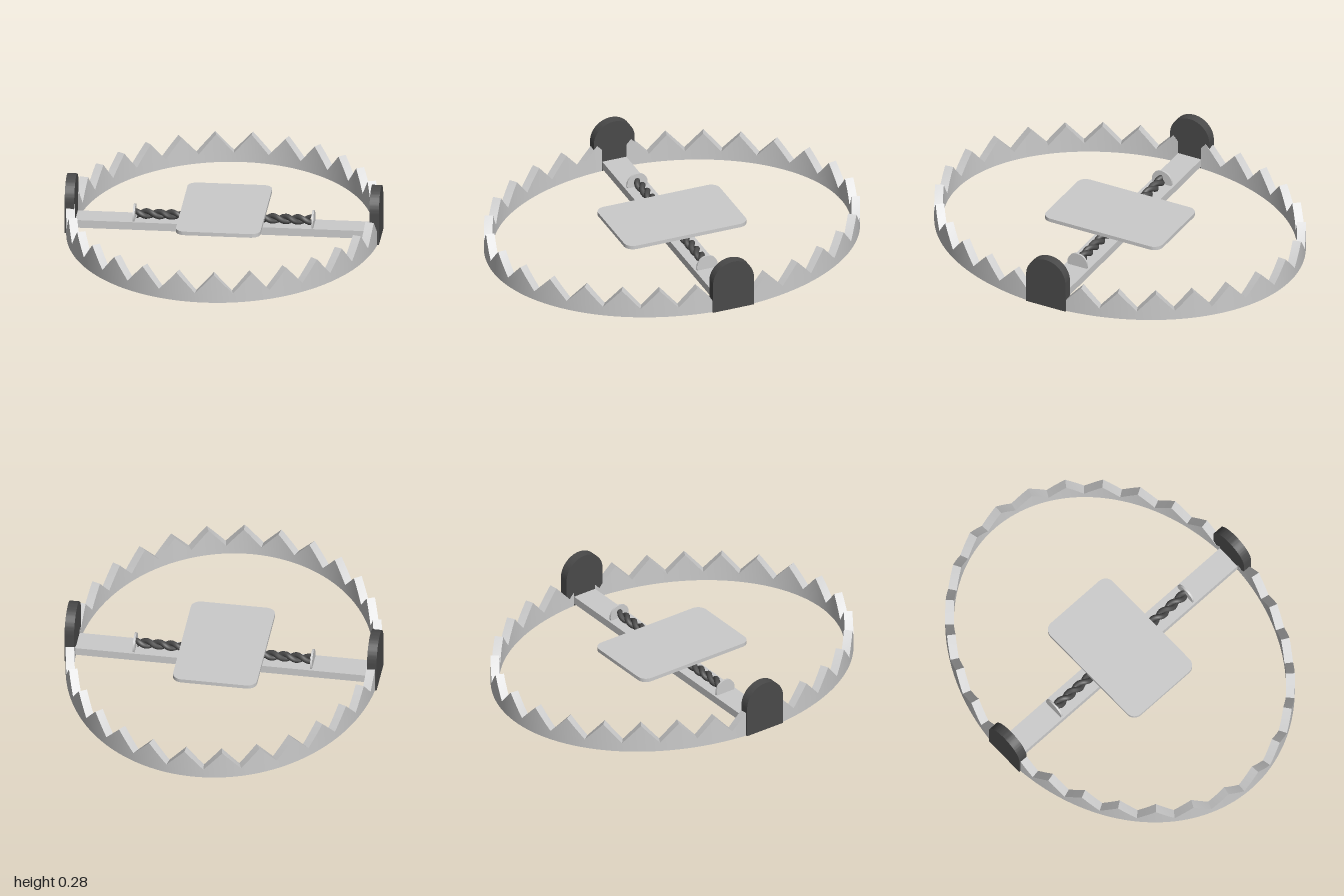
import * as THREE from 'three';
import { toCreasedNormals } from 'three/addons/utils/BufferGeometryUtils.js';

const steel = new THREE.MeshStandardMaterial({ color: 0xcccccc });
const dark = new THREE.MeshStandardMaterial({ color: 0x4a4a4a });

function part(name, geometry, material, x = 0, y = 0, z = 0) {
  const mesh = new THREE.Mesh(geometry, material);
  mesh.name = name;
  mesh.position.set(x, y, z);
  return mesh;
}

// Oval band whose top edge zigzags into evenly spaced teeth
function toothedRing() {
  const teeth = 29, steps = 6, n = teeth * steps;
  const outer = new THREE.EllipseCurve(0, 0, 0.815, 1);
  outer.arcLengthDivisions = 1000;
  const pitch = outer.getLength() / teeth;
  const shift = (0.25 * teeth - 0.05 / pitch) % 1; // places a peak just beside the front middle
  const sections = [];
  for (let i = 0; i <= n; i++) {
    const u = (((i / steps + shift) / teeth) % 1 + 1) % 1;
    const p = outer.getPointAt(u);
    const nx = p.x / 0.815 ** 2, nz = p.y, len = Math.hypot(nx, nz);
    const qx = p.x - 0.045 * nx / len, qz = p.y - 0.045 * nz / len;
    const k = (i % steps) / steps;
    const h = 0.155 - 0.105 * (1 - Math.abs(1 - 2 * k));
    sections.push([[p.x, 0, p.y], [p.x, h, p.y], [qx, h, qz], [qx, 0, qz]]);
  }
  const pos = [];
  for (let i = 0; i < n; i++) {
    for (let j = 0; j < 4; j++) {
      const a = sections[i][j], b = sections[i][(j + 1) % 4];
      const c = sections[i + 1][(j + 1) % 4], d = sections[i + 1][j];
      pos.push(...a, ...b, ...c, ...a, ...c, ...d);
    }
  }
  const g = new THREE.BufferGeometry();
  g.setAttribute('position', new THREE.Float32BufferAttribute(pos, 3));
  return toCreasedNormals(g, 0.4);
}

// Upright end plate with a round top
function endPlate() {
  const s = new THREE.Shape();
  s.moveTo(-0.115, 0);
  s.lineTo(0.115, 0);
  s.lineTo(0.115, 0.165);
  s.absarc(0, 0.165, 0.115, 0, Math.PI);
  s.closePath();
  const g = new THREE.ExtrudeGeometry(s, { depth: 0.05, bevelEnabled: false, curveSegments: 24 });
  return toCreasedNormals(g.translate(0, 0, -0.025).rotateY(Math.PI / 2), 0.5);
}

// Thin trigger plate with rounded corners
function triggerPlate() {
  const w = 0.22, d = 0.342, r = 0.05, s = new THREE.Shape();
  s.absarc(w - r, d - r, r, 0, Math.PI / 2);
  s.absarc(r - w, d - r, r, Math.PI / 2, Math.PI);
  s.absarc(r - w, r - d, r, Math.PI, Math.PI * 1.5);
  s.absarc(w - r, r - d, r, Math.PI * 1.5, Math.PI * 2);
  s.closePath();
  const g = new THREE.ExtrudeGeometry(s, { depth: 0.02, bevelEnabled: false, curveSegments: 8 });
  return toCreasedNormals(g.rotateX(-Math.PI / 2), 0.5);
}

// One strand of the twisted rod
class Strand extends THREE.Curve {
  constructor(phase) {
    super();
    this.phase = phase;
  }
  getPoint(t, target = new THREE.Vector3()) {
    const a = this.phase + t * Math.PI * 2 * 7;
    return target.set(-0.46 + 0.92 * t, 0.013 * Math.cos(a), 0.013 * Math.sin(a));
  }
}

export function createModel() {
  const group = new THREE.Group();
  group.add(part('toothedRing', toothedRing(), steel));
  group.add(part('baseBar', new THREE.BoxGeometry(1.56, 0.042, 0.135), steel, 0, 0.034, 0));
  group.add(part('triggerPlate', triggerPlate(), steel, 0, 0.105, 0));

  const rod = new THREE.Group();
  rod.name = 'twistedRod';
  rod.position.y = 0.079;
  for (const phase of [0, Math.PI]) {
    rod.add(part('strand', new THREE.TubeGeometry(new Strand(phase), 168, 0.015, 8), dark));
  }
  group.add(rod);

  // Mirrored ends
  for (const side of [-1, 1]) {
    group.add(part('endPlate', endPlate(), dark, side * 0.793, 0, 0));
    const disc = new THREE.CylinderGeometry(0.058, 0.058, 0.01, 24).rotateZ(Math.PI / 2);
    group.add(part('rodDisc', disc, steel, side * 0.465, 0.072, 0));
  }
  return group;
}
